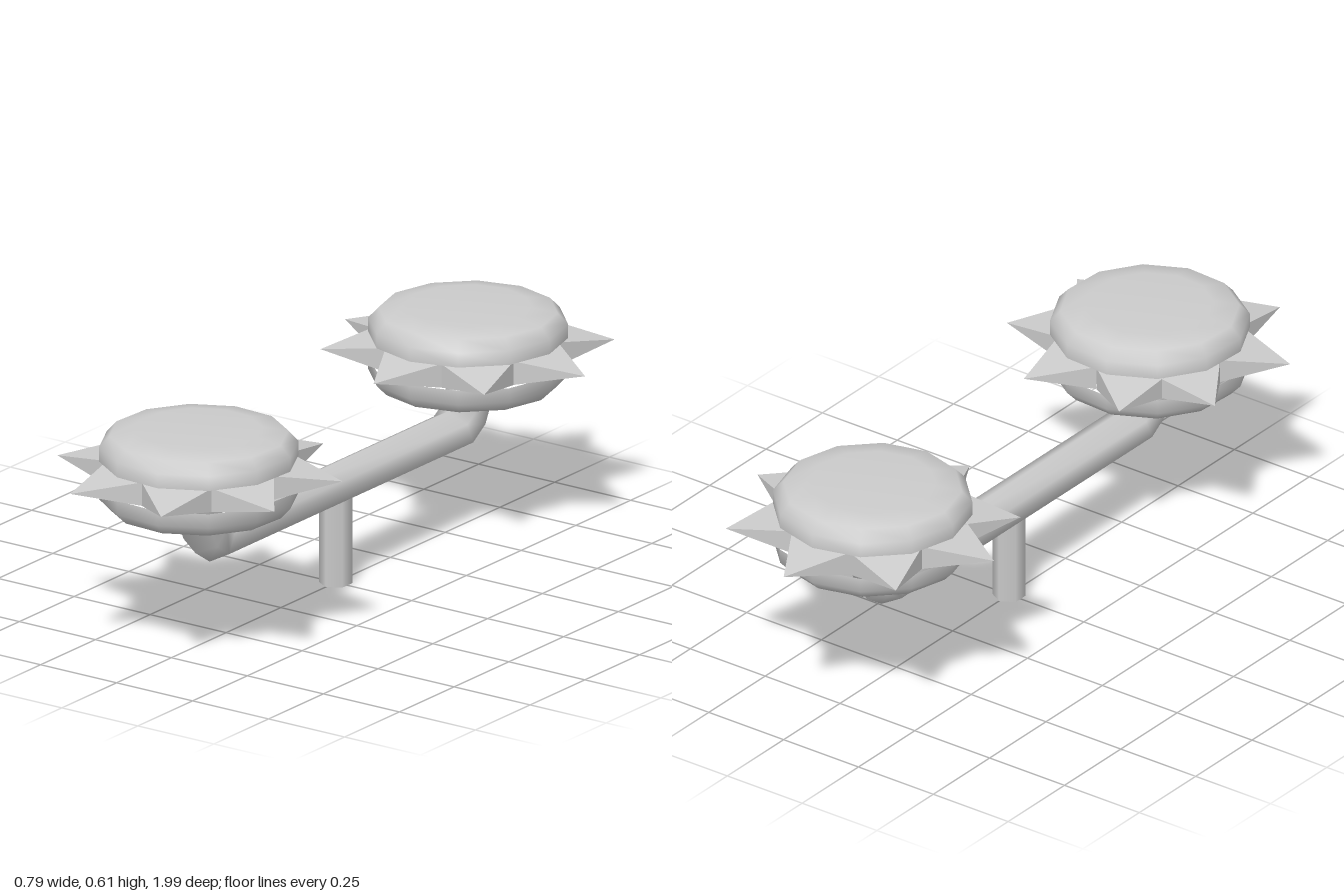
import * as THREE from 'three';

const smooth = new THREE.MeshStandardMaterial({ color: 0xcccccc });
const faceted = new THREE.MeshStandardMaterial({ color: 0xcccccc, flatShading: true });

function addMesh(parent, name, geometry, material = smooth) {
  const mesh = new THREE.Mesh(geometry, material);
  mesh.name = name;
  parent.add(mesh);
  return mesh;
}

// Hexagonal bar swept through rings given as [z, y, tilt in degrees]
function sweepHex(rings, radius) {
  const positions = [], index = [], sides = 6;
  for (const [z, y, degrees] of rings) {
    const tilt = THREE.MathUtils.degToRad(degrees);
    for (let i = 0; i < sides; i++) {
      const a = (i / sides) * Math.PI * 2;
      const up = Math.cos(a) * radius;
      positions.push(Math.sin(a) * radius, y + up * Math.cos(tilt), z - up * Math.sin(tilt));
    }
  }
  for (let r = 0; r < rings.length - 1; r++) {
    for (let i = 0; i < sides; i++) {
      const a = r * sides + i, b = r * sides + (i + 1) % sides;
      index.push(a, a + sides, b, b, a + sides, b + sides);
    }
  }
  const geometry = new THREE.BufferGeometry();
  geometry.setAttribute('position', new THREE.Float32BufferAttribute(positions, 3));
  geometry.setIndex(index);
  geometry.computeVertexNormals();
  return geometry;
}

// Rounded twelve-sided pad, open where it meets the spike ring
const padProfile = [[0.268, 0.033], [0.268, 0.073], [0.24, 0.103], [0.17, 0.116], [0, 0.116]];
const padGeometry = (sign) => {
  const points = padProfile.map(([r, y]) => new THREE.Vector2(r, y * sign));
  return new THREE.LatheGeometry(sign > 0 ? points : points.reverse(), 12);
};

// Four-sided spike pointing outward along z
const spikeGeometry = new THREE.ConeGeometry(Math.SQRT1_2, 1, 4, 1, true)
  .rotateY(Math.PI / 4)
  .scale(0.195, 0.167, 0.067)
  .rotateX(Math.PI / 2)
  .translate(0, 0, 0.228 + 0.0835);

function createWheel(name, z, turn, spikeAngles) {
  const wheel = new THREE.Group();
  wheel.name = name;
  wheel.position.set(0, 0.496, z);
  addMesh(wheel, 'upperPad', padGeometry(1)).rotation.y = turn;
  addMesh(wheel, 'lowerPad', padGeometry(-1)).rotation.y = turn;
  addMesh(wheel, 'core', new THREE.CylinderGeometry(0.228, 0.228, 0.067, 12, 1, true));
  for (const angle of spikeAngles) {
    addMesh(wheel, 'spike', spikeGeometry, faceted).rotation.y = THREE.MathUtils.degToRad(angle);
  }
  return wheel;
}

export function createModel() {
  const model = new THREE.Group();
  model.name = 'spikedTwinWheelStand';

  // Upright post
  addMesh(model, 'post', new THREE.CylinderGeometry(0.045, 0.045, 0.26, 6, 1, true).translate(0, 0.13, 0));

  // Crossbar with both ends bent upward into the wheels
  const bend = [[0.548, 0.28, 25], [0.594, 0.309, 46], [0.663, 0.45, 64]];
  const rings = [
    ...bend.map(([z, y, tilt]) => [-z + 0.01, y, -tilt]).reverse(),
    ...bend,
  ];
  addMesh(model, 'crossbar', sweepHex(rings, 0.064));

  // Spiked wheels
  model.add(createWheel('frontWheel', 0.625, 0.2, [21, 66.5, 112, 158.5, 205, 243, 288.5, 335.5]));
  model.add(createWheel('backWheel', -0.605, 0, [180, 134, 88, 42, 356, 309, 272, 226]));
  return model;
}
